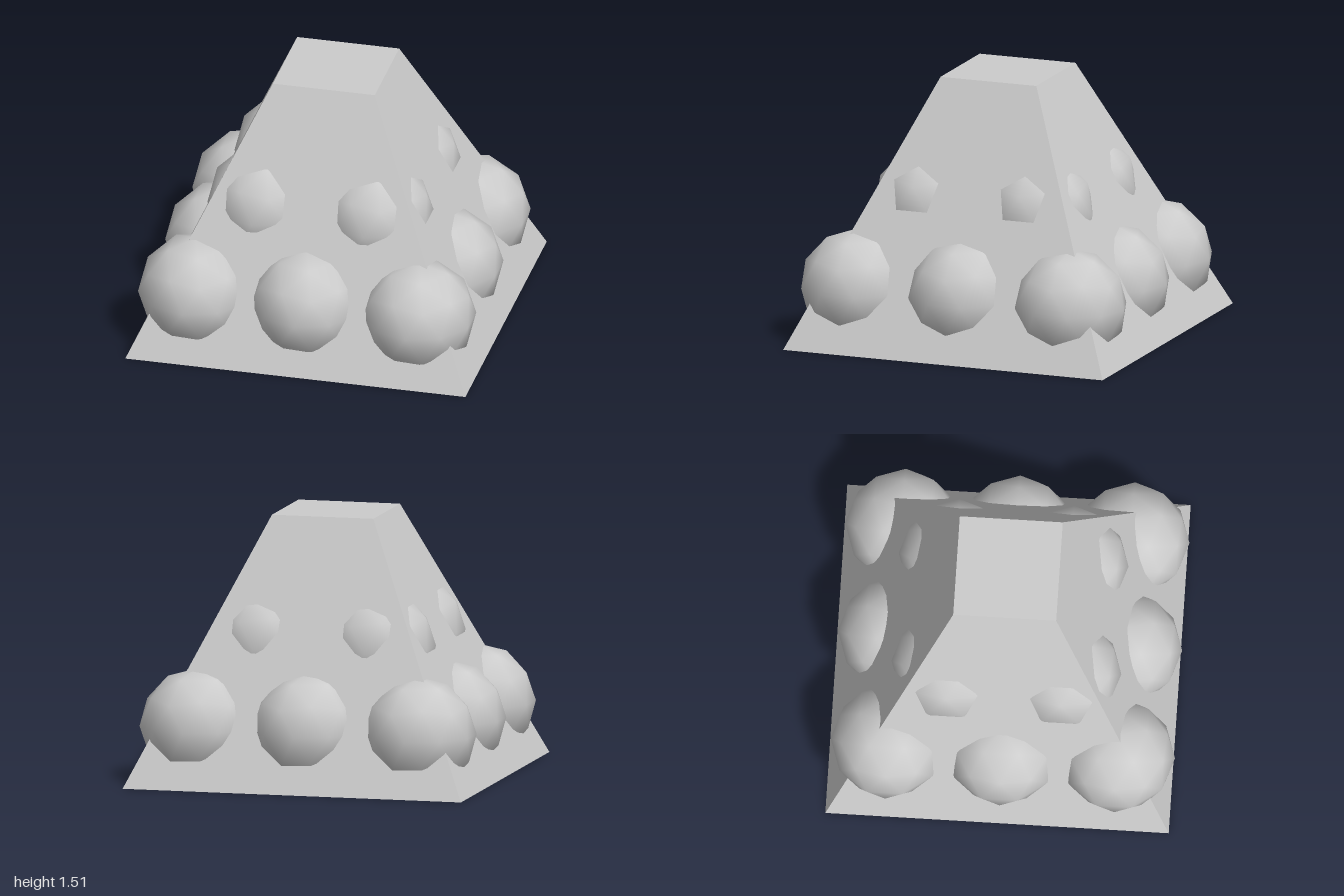
import * as THREE from 'three';

export function createModel() {
  const model = new THREE.Group();
  const smooth = new THREE.MeshStandardMaterial({ color: 0xcccccc });
  const flat = new THREE.MeshStandardMaterial({ color: 0xcccccc, flatShading: true });

  // Truncated square pyramid
  const height = 1.51;
  const body = new THREE.CylinderGeometry(0.3 * Math.SQRT2, Math.SQRT2, height, 4);
  body.rotateY(Math.PI / 4).scale(1, 1, 0.983).translate(0, height / 2, -0.012);
  const pyramid = new THREE.Mesh(body, flat);
  pyramid.name = 'pyramid';
  model.add(pyramid);

  // Low-poly ball with a vertex pointing straight up
  const radius = 0.33, spacing = 0.656;
  const ballGeometry = new THREE.IcosahedronGeometry(radius, 1);
  ballGeometry.rotateZ(Math.atan(2 / (1 + Math.sqrt(5)))).rotateY(Math.PI);

  // Square layers of stacked balls that poke out through the sloping sides
  function addLayer(name, count, y) {
    const layer = new THREE.Group();
    layer.name = name;
    const middle = (count - 1) / 2;
    for (let i = 0; i < count; i++) {
      for (let j = 0; j < count; j++) {
        if (i === middle && j === middle) continue; // fully enclosed
        const ball = new THREE.Mesh(ballGeometry, smooth);
        ball.name = 'ball';
        ball.position.set((i - middle) * spacing - 0.007, y, (j - middle) * spacing);
        layer.add(ball);
      }
    }
    model.add(layer);
  }
  addLayer('lowerBalls', 3, 0.33);
  addLayer('upperBalls', 2, 0.78);

  return model;
}
